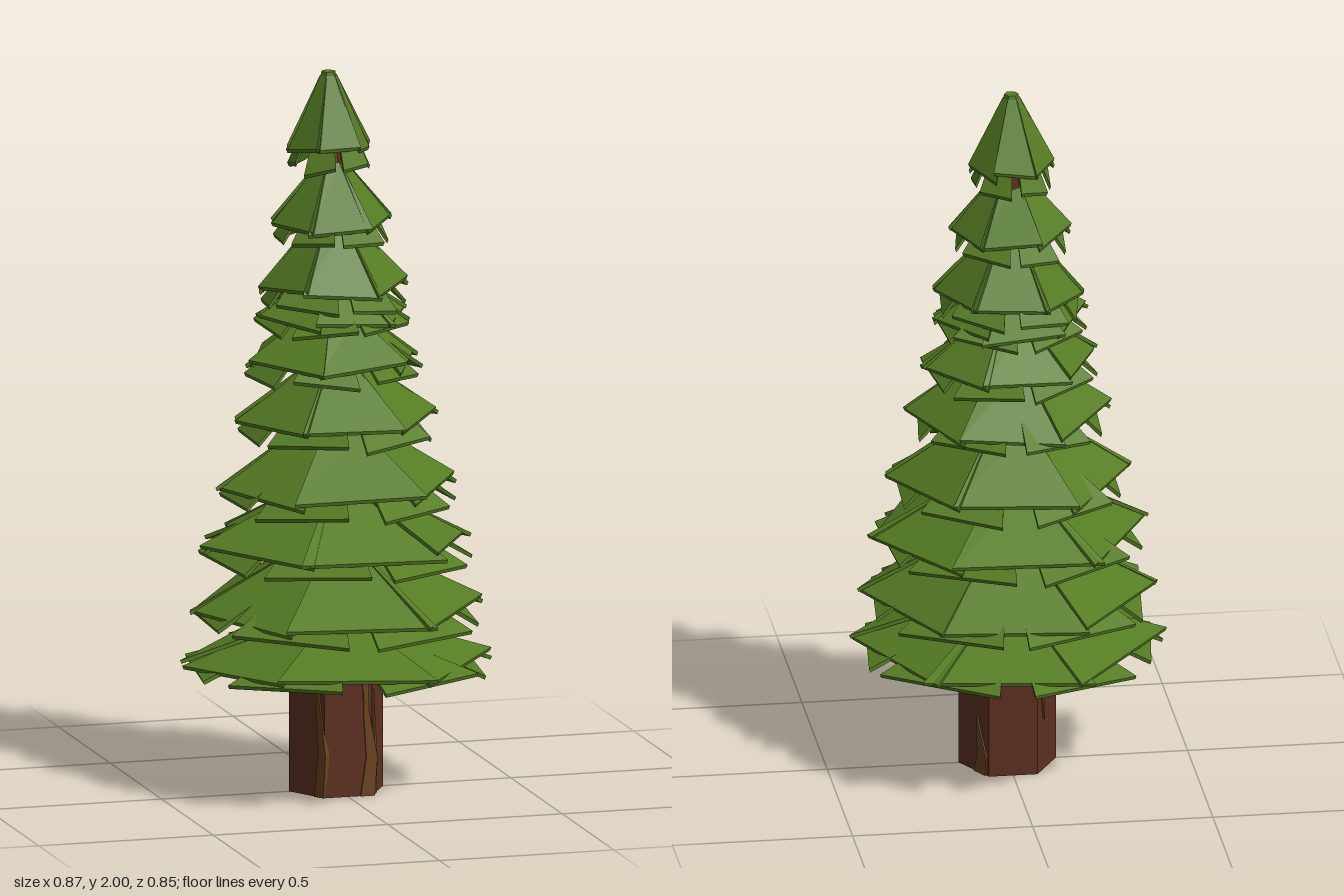
import * as THREE from 'three';

const green = new THREE.MeshStandardMaterial({ color: 0x557c24, flatShading: true });
const brown = new THREE.MeshStandardMaterial({ color: 0x5e3020, flatShading: true });
const bark = new THREE.MeshStandardMaterial({ color: 0x6b4520, flatShading: true });

let seed = 7;
function rand(a, b) {
  seed = (seed * 16807) % 2147483647;
  return a + (b - a) * (seed / 2147483647);
}

// Move every vertex by a rule, keeping hard facets
function reshape(geometry, rule) {
  const p = geometry.attributes.position;
  const v = new THREE.Vector3();
  for (let i = 0; i < p.count; i++) {
    rule(v.fromBufferAttribute(p, i));
    p.setXYZ(i, v.x, v.y, v.z);
  }
  const flat = geometry.toNonIndexed();
  flat.computeVertexNormals();
  return flat;
}

// Trunk stations: height, radius, z of the centre
const stations = [
  [0, 0.135, 0], [0.35, 0.135, 0], [0.65, 0.127, 0], [1.0, 0.105, 0],
  [1.3, 0.082, -0.03], [1.6, 0.055, -0.055], [1.85, 0.02, -0.075],
];

function createTrunk() {
  const n = stations.length - 1;
  const geometry = reshape(new THREE.CylinderGeometry(1, 1, 1, 6, n, false, Math.PI / 6), (v) => {
    const [y, r, z] = stations[Math.round((v.y + 0.5) * n)];
    v.set(v.x * r, y, v.z * r + z);
  });
  const mesh = new THREE.Mesh(geometry, brown);
  mesh.name = 'trunk';
  return mesh;
}

// A thin pointed splinter lying on one trunk facet
function createSplinter(angle, shift, y0, y1, width, flip) {
  const geometry = reshape(new THREE.BoxGeometry(1, 1, 1, 1, 3, 1), (v) => {
    const t = v.y + 0.5;
    const taper = [1, 0.8, 0.45, 0.05][Math.round(t * 3)];
    const lean = 0.012 * Math.sin(t * 5);
    v.set(v.x * width * taper + shift + lean, y0 + (y1 - y0) * t, 0.115 + v.z * 0.014);
  });
  const mesh = new THREE.Mesh(geometry, bark);
  if (flip) {
    mesh.rotation.z = Math.PI;
    mesh.position.y = y0 + y1;
  }
  const holder = new THREE.Group();
  holder.name = 'barkSplinter';
  holder.rotation.y = angle;
  holder.add(mesh);
  return holder;
}

// One thin trapezoid bough, drooping outward with a slight sideways tilt
function createBough(angle, half, tier, radius, lift, rise) {
  const lean = rand(-0.012, 0.012);
  const sway = rand(-0.008, 0.008);
  const reach = radius * rand(0.99, 1.02);
  const geometry = reshape(new THREE.BoxGeometry(1, 1, 1), (v) => {
    const outer = v.y < 0;
    const side = Math.sign(v.x);
    const a = angle + side * half;
    const r = outer ? reach * (1 + side * lean) : tier.inner;
    const y = outer ? tier.bottom + lift + side * lean + sway : tier.top + rise;
    const out = v.z * 0.004;
    v.set(Math.sin(a) * (r + out), y + v.z * 0.01, Math.cos(a) * (r + out));
  });
  const mesh = new THREE.Mesh(geometry, green);
  mesh.name = 'bough';
  return mesh;
}

const tiers = [
  { bottom: 0.345, top: 0.47, radius: 0.43, inner: 0.125, z: 0 },
  { bottom: 0.475, top: 0.67, radius: 0.41, inner: 0.115, z: 0 },
  { bottom: 0.66, top: 0.84, radius: 0.385, inner: 0.1, z: 0 },
  { bottom: 0.815, top: 1.02, radius: 0.335, inner: 0.095, z: 0 },
  { bottom: 1.0, top: 1.19, radius: 0.28, inner: 0.085, z: 0 },
  { bottom: 1.165, top: 1.33, radius: 0.245, inner: 0.075, z: -0.03 },
  { bottom: 1.305, top: 1.43, radius: 0.215, inner: 0.065, z: -0.035 },
  { bottom: 1.365, top: 1.58, radius: 0.208, inner: 0.055, z: -0.04 },
  { bottom: 1.54, top: 1.75, radius: 0.165, inner: 0.035, z: -0.045 },
  { bottom: 1.74, top: 1.985, radius: 0.117, inner: 0.022, z: -0.075 },
];

export function createModel() {
  const tree = new THREE.Group();
  tree.name = 'pineTree';
  tree.add(createTrunk());

  // Lighter splinters of bark around the foot
  const third = Math.PI / 3;
  tree.add(createSplinter(0, 0.055, 0, 0.33, 0.04, false));
  tree.add(createSplinter(0, -0.045, 0.22, 0.55, 0.05, true));
  tree.add(createSplinter(third, -0.05, 0, 0.3, 0.04, false));
  tree.add(createSplinter(2 * third, 0.03, 0, 0.16, 0.05, false));
  tree.add(createSplinter(4 * third, 0.04, 0.15, 0.42, 0.04, true));
  tree.add(createSplinter(5 * third, 0.05, 0, 0.36, 0.035, false));

  // Each tier has a nearly closed ring of boughs over a gapped, staggered ring
  tiers.forEach((tier, i) => {
    const group = new THREE.Group();
    group.name = 'foliageTier' + (i + 1);
    group.position.z = tier.z;
    const turn = i === tiers.length - 1 ? 0 : rand(-0.12, 0.12);
    const height = tier.top - tier.bottom;
    for (let k = 0; k < 6; k++) {
      const upper = k * third + turn;
      const lower = upper + third / 2 + rand(-0.06, 0.06);
      group.add(createBough(upper, rand(0.53, 0.58), tier, tier.radius, height * 0.2, 0));
      group.add(createBough(lower, rand(0.38, 0.47), tier, tier.radius * 0.98, 0, -height * 0.2));
    }
    tree.add(group);
  });

  // Small six-sided cap closing the tip
  const cap = new THREE.Mesh(new THREE.CylinderGeometry(0.02, 0.025, 0.03, 6, 1, false, third / 2), green);
  cap.name = 'treeTip';
  cap.position.set(0, 1.985, -0.075);
  tree.add(cap);
  return tree;
}
